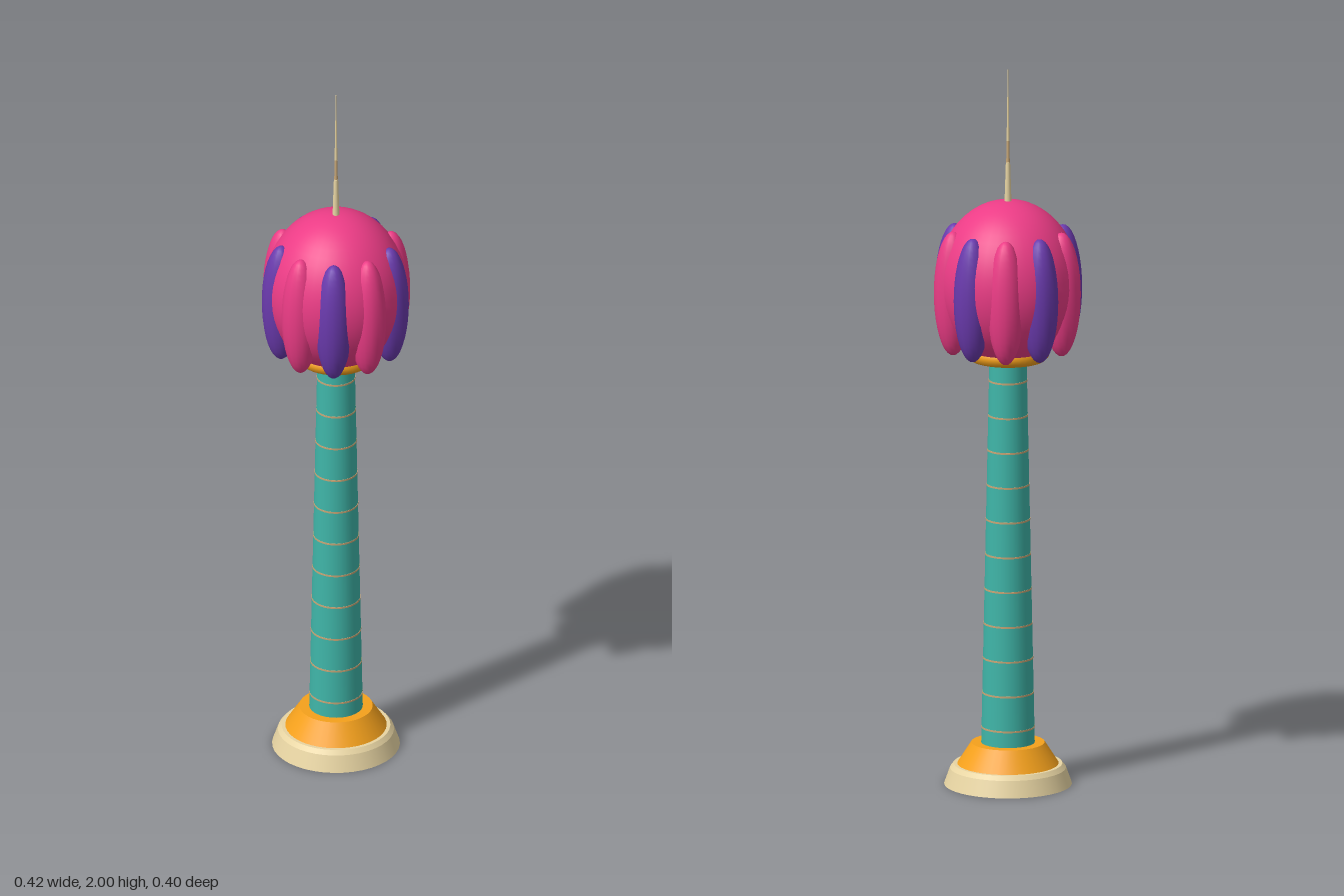
import * as THREE from 'three';

const mat = (color) => new THREE.MeshStandardMaterial({ color });

export function createModel() {
  const model = new THREE.Group();
  const cream = mat(0xe8d5a3), gold = mat(0xf5a11c), teal = mat(0x3fb5a8);
  const pink = mat(0xec3c86), purple = mat(0x6a3aad), tan = mat(0xc9a878);

  const add = (name, geometry, material, y = 0, parent = model) => {
    const mesh = new THREE.Mesh(geometry, material);
    mesh.name = name;
    mesh.position.y = y;
    parent.add(mesh);
    return mesh;
  };
  // Tapered round section between two heights
  const taper = (name, y0, y1, r0, r1, material, sides = 32) =>
    add(name, new THREE.CylinderGeometry(r1, r0, y1 - y0, sides), material, (y0 + y1) / 2);

  // Stepped base
  taper('basePlinth', 0, 0.045, 0.174, 0.158, cream, 40);
  taper('basePlinthBevel', 0.045, 0.057, 0.158, 0.148, cream, 40);
  taper('baseStep', 0.057, 0.116, 0.138, 0.1, gold, 40);

  // Shaft with evenly spaced thin bands
  const y0 = 0.11, y1 = 1.22, r0 = 0.073, r1 = 0.05;
  taper('shaft', y0, y1, r0, r1, teal);
  const bands = new THREE.Group();
  bands.name = 'shaftBands';
  model.add(bands);
  for (let i = 0; i < 11; i++) {
    const y = 0.16 + i * 0.097;
    const r = THREE.MathUtils.mapLinear(y, y0, y1, r0, r1);
    add('shaftBand', new THREE.CylinderGeometry(r + 0.001, r + 0.001, 0.005, 32), tan, y, bands);
  }

  // Bulb and its collar
  add('bulb', new THREE.SphereGeometry(1, 40, 28), pink, 1.405).scale.set(0.195, 0.228, 0.195);
  const collar = add('bulbCollar', new THREE.TorusGeometry(0.09, 0.024, 12, 40), gold, 1.21);
  collar.rotation.x = Math.PI / 2;

  // Ten petals in alternating colours
  const petals = new THREE.Group();
  petals.name = 'petals';
  model.add(petals);
  const petalGeometry = new THREE.SphereGeometry(1, 16, 20);
  for (let i = 0; i < 10; i++) {
    const a = (i * Math.PI) / 5;
    const petal = add('petal', petalGeometry, i % 2 ? pink : purple, 1.383, petals);
    petal.position.x = 0.155 * Math.cos(a);
    petal.position.z = 0.155 * Math.sin(a);
    petal.rotation.y = -a;
    petal.scale.set(0.053, 0.173, 0.051);
  }

  // Spire in narrowing sections
  taper('spireBase', 1.62, 1.74, 0.01, 0.006, cream, 12);
  taper('spireMiddle', 1.74, 1.8, 0.005, 0.004, tan, 12);
  taper('spireTip', 1.8, 2, 0.004, 0.0008, cream, 10);

  return model;
}
